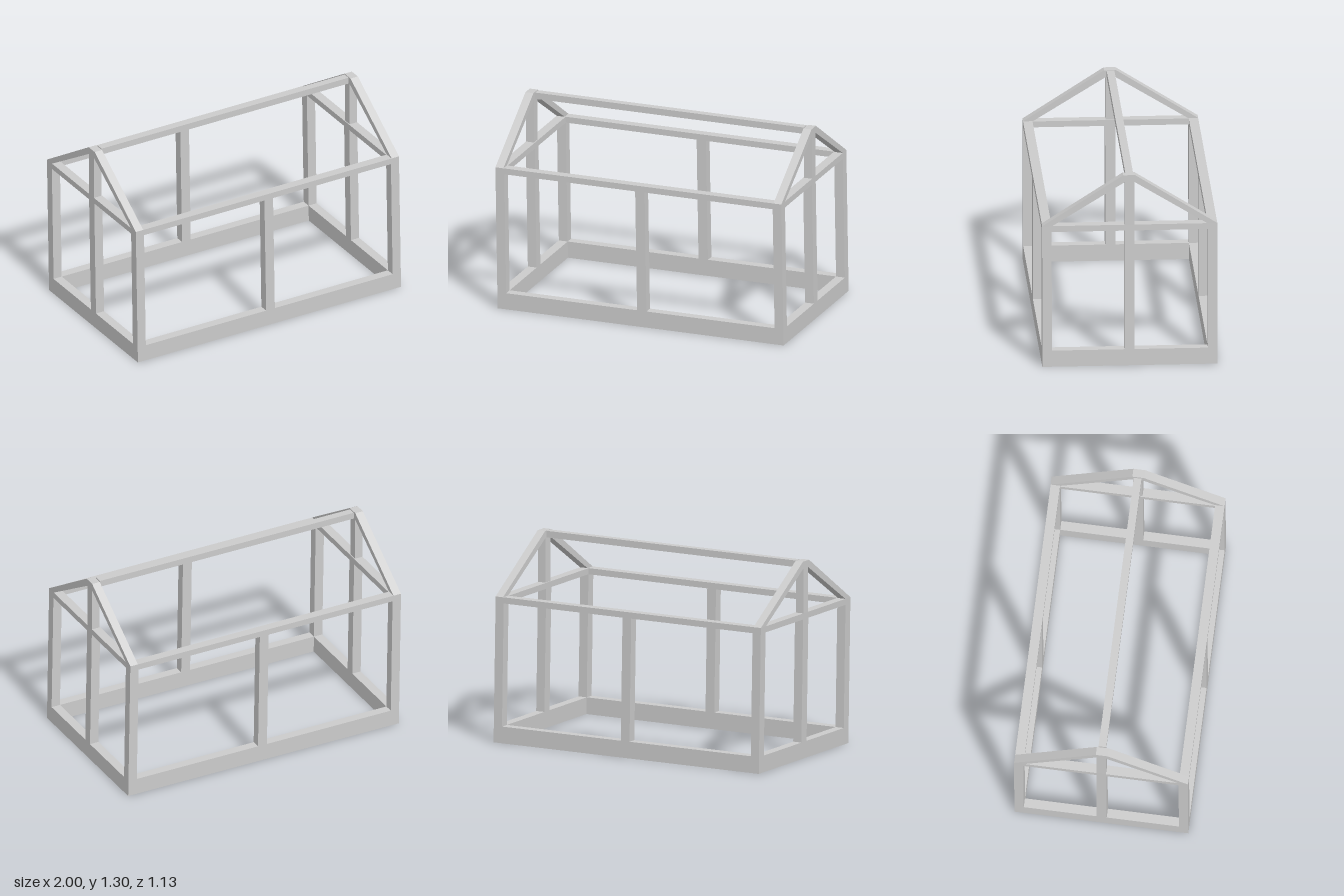
import * as THREE from 'three';

const HX = 0.9865, HZ = 0.564, T = 0.061; // half length, half depth, timber width
const BASE = 0.11, PLATE = 0.92, EAVE = 0.96, TOP = 1.3;

// The frame leans slightly along x: with height up to the eaves, and from front to back.
function lean(geometry) {
  const p = geometry.attributes.position;
  for (let i = 0; i < p.count; i++) {
    const y = Math.min(p.getY(i), EAVE);
    p.setX(i, p.getX(i) + 0.0075 - 0.0155 * y / EAVE - 0.009 * p.getZ(i));
  }
  geometry.computeVertexNormals();
  return geometry;
}

export function createModel() {
  const house = new THREE.Group();
  house.name = 'houseFrame';
  const material = new THREE.MeshStandardMaterial({ color: 0xcccccc, flatShading: true });

  function add(name, geometry) {
    const mesh = new THREE.Mesh(lean(geometry), material);
    mesh.name = name;
    house.add(mesh);
  }
  // Timber given by its limits on each axis
  function beam(name, x0, x1, y0, y1, z0, z1) {
    const g = new THREE.BoxGeometry(x1 - x0, y1 - y0, z1 - z0);
    g.translate((x0 + x1) / 2, (y0 + y1) / 2, (z0 + z1) / 2);
    add(name, g);
  }
  // Limits of a timber lying against the outer face on one side
  const edge = (s, half) => (s > 0 ? [half - T, half] : [-half, T - half]);

  // Long sides: sill, top plate and middle post
  for (const s of [1, -1]) {
    const side = s > 0 ? 'front' : 'back';
    const z = edge(s, HZ);
    beam(side + 'Sill', -HX, HX, 0, BASE, ...z);
    beam(side + 'TopPlate', -HX, HX, PLATE, EAVE, ...z);
    beam(side + 'MiddlePost', -0.023, 0.042, BASE, PLATE, ...z);
  }

  // Ends: sill, tie beam, posts and gable
  for (const s of [1, -1]) {
    const end = s > 0 ? 'left' : 'right';
    const x = edge(s, HX);
    beam(end + 'Sill', ...x, 0, BASE, T - HZ, HZ - T);
    beam(end + 'TieBeam', ...x, PLATE, EAVE, T - HZ, HZ - T);
    beam(end + 'MiddlePost', ...x, BASE, PLATE, -0.03, 0.035);
    for (const f of [1, -1]) {
      beam(end + (f > 0 ? 'Front' : 'Back') + 'CornerPost', ...x, BASE, PLATE, ...edge(f, HZ));
    }

    // Gable rafters and king post in one outline with two triangular openings
    const v = (z, y) => new THREE.Vector2(z, y);
    const gable = new THREE.Shape([
      v(-HZ, EAVE), v(-0.5, EAVE), v(-0.03, 1.253), v(-0.03, EAVE),
      v(0.032, EAVE), v(0.032, 1.253), v(0.5, EAVE), v(HZ, EAVE),
      v(0.042, TOP), v(-0.034, TOP),
    ]);
    const g = new THREE.ExtrudeGeometry(gable, { depth: T - 0.006, bevelEnabled: false });
    g.rotateY(-Math.PI / 2); // outline across z, depth towards -x
    g.translate(x[1] - (s > 0 ? 0 : 0.006), 0, 0);
    add(end + 'Gable', g);
  }

  // Ridge beam between the gables
  beam('ridgeBeam', T - HX, HX - T, 1.257, TOP, -0.024, 0.026);
  return house;
}
